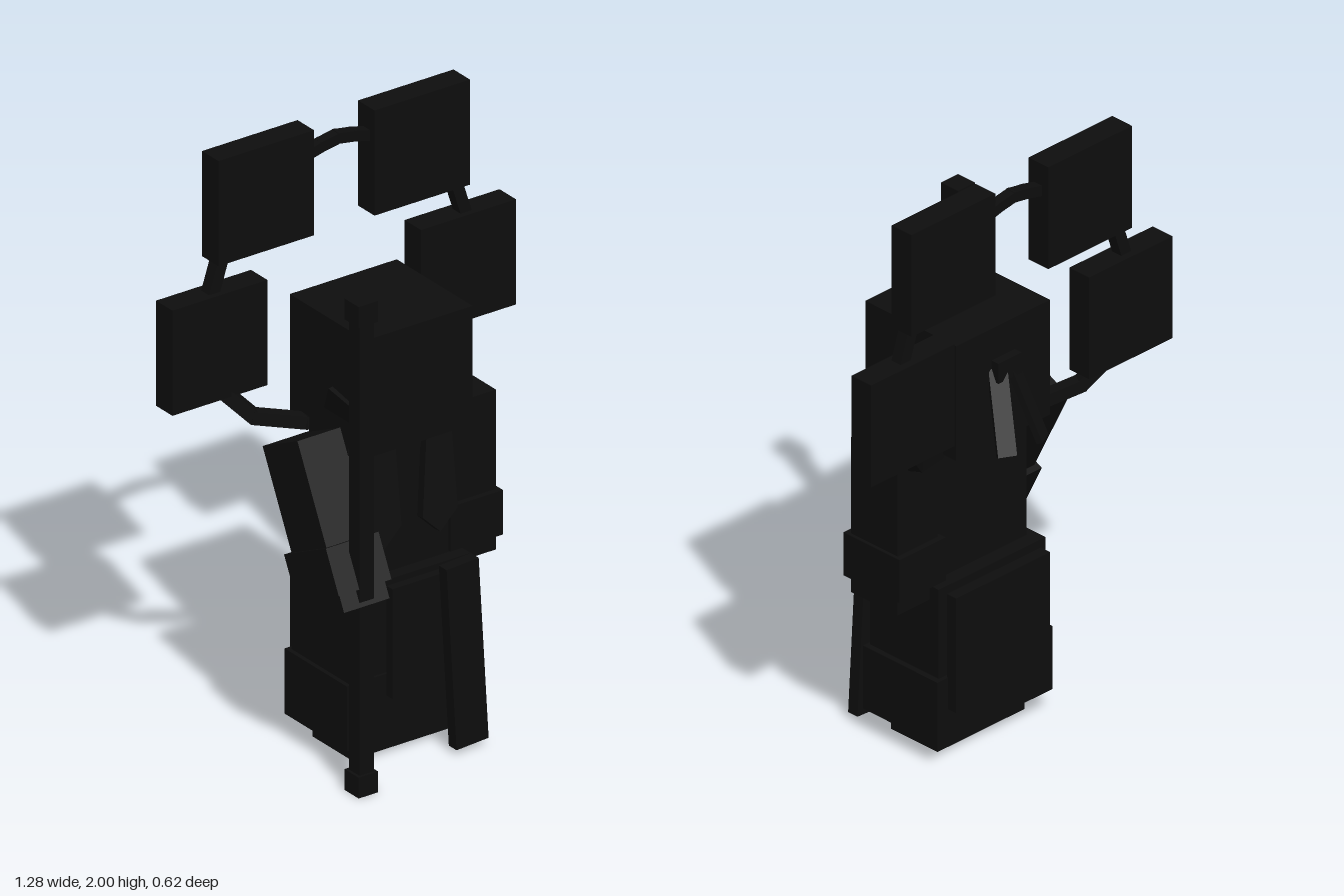
import * as THREE from 'three';

export function createModel() {
  const model = new THREE.Group();
  const black = new THREE.MeshStandardMaterial({ color: 0x0d0d0d, flatShading: true });
  black.name = 'black';

  const add = (name, geometry, parent = model) => {
    const mesh = new THREE.Mesh(geometry, black);
    mesh.name = name;
    parent.add(mesh);
    return mesh;
  };
  // Box given by its lower and upper limits on each axis
  const box = (name, [x0, x1], [y0, y1], [z0, z1], parent = model) => {
    const mesh = add(name, new THREE.BoxGeometry(x1 - x0, y1 - y0, z1 - z0), parent);
    mesh.position.set((x0 + x1) / 2, (y0 + y1) / 2, (z0 + z1) / 2);
    return mesh;
  };
  // Square bar running between two points
  const bar = (name, a, b, width, depth = width) => {
    const start = new THREE.Vector3(...a), end = new THREE.Vector3(...b);
    const length = start.distanceTo(end);
    const mesh = add(name, new THREE.BoxGeometry(width, depth, length + 0.015));
    mesh.position.copy(start).lerp(end, 0.5);
    mesh.lookAt(end);
    return mesh;
  };
  const chain = (name, points, width) => {
    for (let i = 1; i < points.length; i++) bar(name, points[i - 1], points[i], width);
  };

  // Head, torso and legs
  box('head', [-0.2, 0.2], [1.07, 1.47], [-0.2, 0.19]);
  box('torso', [-0.2, 0.2], [0.58, 1.08], [-0.1, 0.1]);
  box('legs', [-0.185, 0.185], [0.01, 0.6], [-0.105, 0.095]);

  // Robe skirt, with hem and hanging cloth
  box('skirt', [-0.23, 0.225], [0.1, 0.61], [-0.15, 0.145]);
  box('skirtHem', [-0.245, 0.245], [0.08, 0.3], [-0.165, 0.155]);
  box('backCloth', [-0.2, 0.2], [0.19, 0.59], [-0.2, -0.16]);
  box('frontCloth', [-0.1, 0.1], [0.23, 0.6], [0.16, 0.19]);
  const sash = box('sash', [0.085, 0.205], [0.02, 0.64], [0.2, 0.24]);
  sash.rotation.z = 0.06;

  // Straight left arm and bent right arm share one build, hung from the shoulder
  for (const side of [1, -1]) {
    const arm = new THREE.Group();
    arm.name = side > 0 ? 'leftArm' : 'rightArm';
    arm.position.set(side * 0.275, side > 0 ? 1.1 : 1.08, side > 0 ? -0.01 : -0.03);
    arm.rotation.x = side > 0 ? 0 : -0.46;
    box('sleeve', [-0.085, 0.085], [-0.54, 0], [-0.1, 0.1], arm);
    box('cuff', [-0.1, 0.097], [-0.485, -0.335], [-0.12, 0.12], arm);
    model.add(arm);
  }

  // Staff with square caps
  box('staff', [-0.298, -0.243], [0.03, 1.63], [0.24, 0.293]);
  for (const y of [0, 1.59]) box('staffCap', [-0.308, -0.235], [y, y + 0.07], [0.23, 0.303]);

  // Coat lapels, pointed at the bottom
  const lapelShape = new THREE.Shape(
    [[0.08, 0], [0.04, -0.29], [0.1, -0.35], [0.17, -0.29], [0.17, 0]]
      .map(([x, y]) => new THREE.Vector2(x, y)));
  // Raised collar sides, drawn along z and y
  const collarShape = new THREE.Shape(
    [[-0.08, 0], [0.1, 0], [0.18, 0.17], [0.02, 0.2]]
      .map(([z, y]) => new THREE.Vector2(-z, y)));
  const plate = { depth: 0.03, bevelEnabled: false };
  for (const side of [1, -1]) {
    const lapel = add('lapel', new THREE.ExtrudeGeometry(lapelShape, plate));
    lapel.geometry.translate(side > 0 ? 0 : -0.21, 0, 0);
    lapel.position.set(0, 1.07, 0.09);
    lapel.rotation.x = -0.12;

    const collarHolder = new THREE.Group();
    collarHolder.name = 'collarSide';
    const collar = add('collarPlate', new THREE.ExtrudeGeometry(collarShape, plate), collarHolder);
    collar.rotation.y = Math.PI / 2;
    collar.position.x = -0.015;
    collarHolder.position.set(side * 0.165, 1.05, 0);
    collarHolder.rotation.z = -side * 0.18;
    model.add(collarHolder);

    // Ring of square drums behind the head, with links between them
    const span = (a, b) => (side > 0 ? [a, b] : [-b, -a]);
    box('upperDrum', span(0.113, 0.47), [1.645, 2], [-0.28, -0.195]);
    box('lowerDrum', span(0.287, 0.642), [1.19, 1.545], [-0.28, -0.195]);
    bar('drumLink', [side * 0.43, 1.67, -0.235], [side * 0.475, 1.53, -0.235], 0.04);

    // Ribbon tails behind the head
    bar('ribbonTail', [side * 0.03, 1.32, -0.205], [side * 0.075, 1.08, -0.29], 0.06, 0.02);
  }
  box('ribbonKnot', [-0.05, 0.05], [1.29, 1.36], [-0.23, -0.19]);

  // Cord over the top and cord across the back
  chain('topCord', [[-0.12, 1.905, -0.235], [-0.06, 1.92, -0.235], [0, 1.93, -0.235],
    [0.06, 1.92, -0.235], [0.12, 1.905, -0.235]], 0.035);
  chain('backCord', [[-0.45, 1.22, -0.235], [-0.35, 1.11, -0.18], [-0.2, 1.075, -0.12],
    [0, 1.03, -0.11], [0.2, 1.075, -0.12], [0.35, 1.11, -0.18], [0.45, 1.22, -0.235]], 0.042);

  return model;
}
